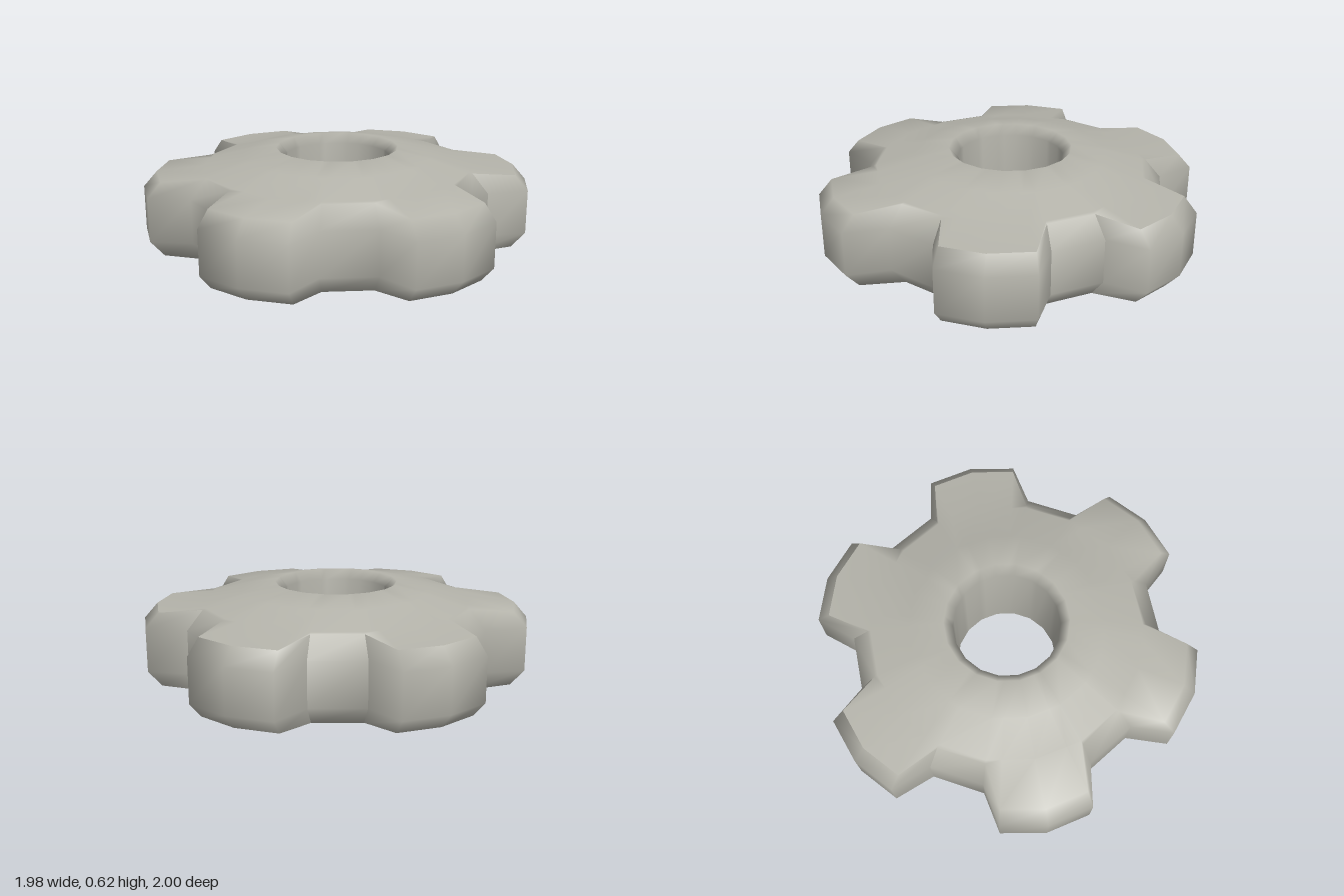
import * as THREE from 'three';

const TEETH = 6, HEIGHT = 0.625;
// one pitch of the outline: [angle in degrees, outer radius, radius of the chamfer's inner edge, its height, chord factor]
const COLUMNS = [
  [0, 0.8, 0.717, 0.528, 1],
  [6.4, 0.997, 0.928, 0.507, 0.987],
  [20, 1.015, 0.945, 0.507, 1],
  [33.6, 0.997, 0.928, 0.507, 0.987],
  [40, 0.8, 0.717, 0.528, 1],
];
// dished disc, from the bore outwards: [radius, height]
const DISC = [[0.275, 0.575], [0.32, 0.623], [0.5, 0.588], [0.7, 0.533]];

// closed cross-section of one column, top half then mirrored bottom half
function section([, outer, inner, y, chord]) {
  const top = DISC.map(([r, h]) => [r * chord, h]);
  top.push([inner, y], [outer, 0.427]);
  const bottom = top.map(([r, h]) => [r, HEIGHT - h]).reverse();
  return [...top, ...bottom];
}

export function createModel() {
  const group = new THREE.Group();
  group.name = 'gear';
  const stone = new THREE.MeshStandardMaterial({ color: 0xb5b4ab });
  stone.name = 'warm grey';

  const positions = [];
  const n = COLUMNS.length, rings = 12, total = TEETH * n;
  for (let t = 0; t < TEETH; t++) {
    for (const column of COLUMNS) {
      const a = THREE.MathUtils.degToRad(t * 60 + column[0]);
      for (const [r, y] of section(column)) positions.push(r * Math.cos(a), y, r * Math.sin(a));
    }
  }

  // rims of the rear teeth have hard edges, so they are separate surfaces
  const body = [], rims = Array.from({ length: TEETH }, () => []);
  for (let i = 0; i < total; i++) {
    const tooth = Math.floor(i / n);
    for (let j = 0; j < rings; j++) {
      const isRim = tooth >= TEETH / 2 && i % n < n - 1 && j >= 4 && j <= 6;
      const next = (i + 1) % total, k = (j + 1) % rings;
      const a = i * rings + j, b = next * rings + j, c = next * rings + k, d = i * rings + k;
      (isRim ? rims[tooth] : body).push(a, b, c, a, c, d);
    }
  }

  function addSurface(name, index) {
    const geometry = new THREE.BufferGeometry();
    geometry.setAttribute('position', new THREE.Float32BufferAttribute(positions, 3));
    geometry.setIndex(index);
    geometry.computeVertexNormals();
    const mesh = new THREE.Mesh(geometry, stone);
    mesh.name = name;
    group.add(mesh);
  }

  addSurface('gearBody', body);
  rims.forEach((index, t) => index.length && addSurface('toothRim' + (t + 1), index));
  return group;
}
